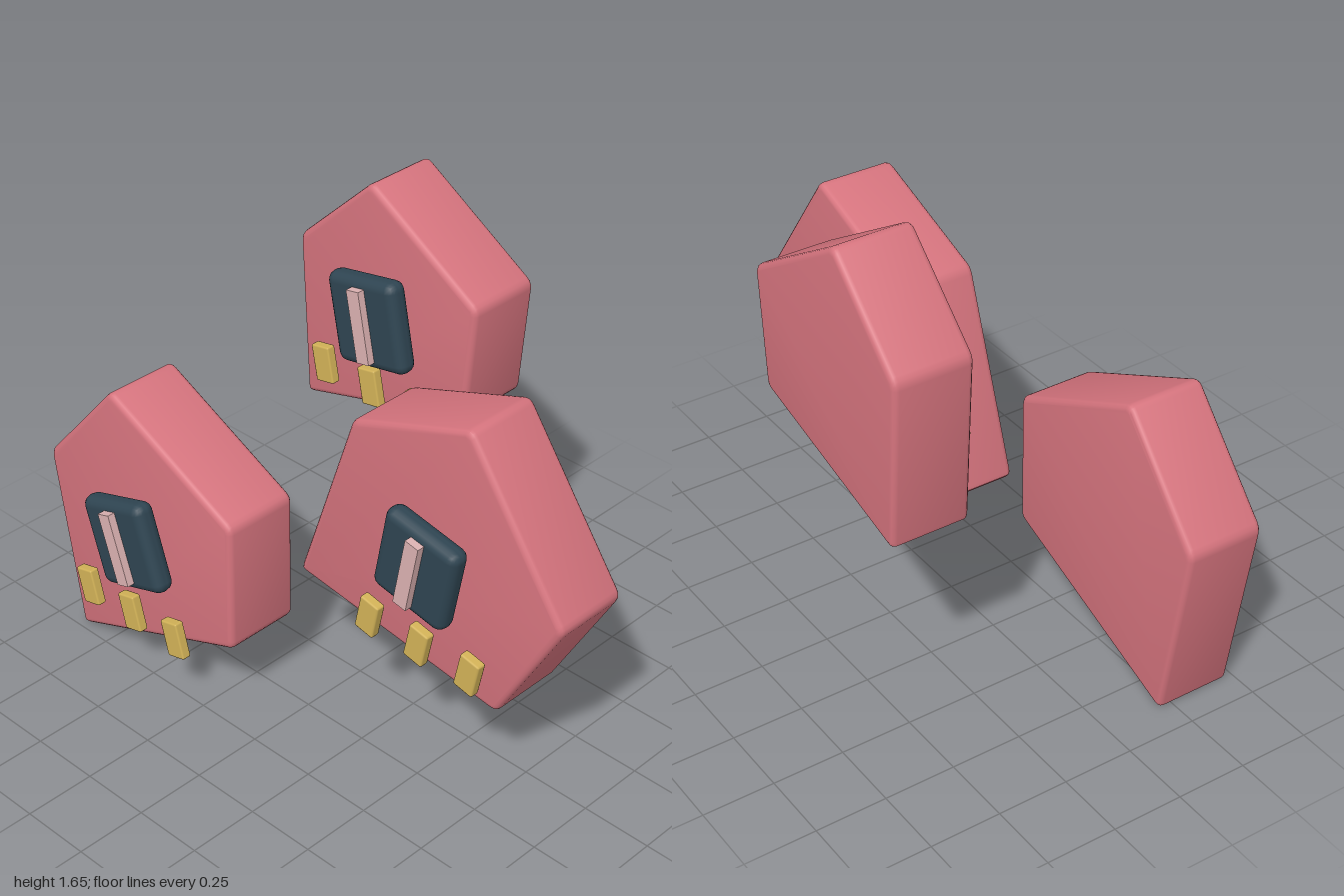
import * as THREE from 'three';
import { toCreasedNormals } from 'three/addons/utils/BufferGeometryUtils.js';
import { RoundedBoxGeometry } from 'three/addons/geometries/RoundedBoxGeometry.js';

const mat = (name, color) => {
  const m = new THREE.MeshStandardMaterial({ color });
  m.name = name;
  return m;
};

// Polygon outline with slightly rounded corners
function roundedOutline(points, r) {
  const pts = points.map(([x, y]) => new THREE.Vector2(x, y));
  const toward = (a, b) => a.clone().add(b.clone().sub(a).setLength(r));
  const shape = new THREE.Shape();
  pts.forEach((p, i) => {
    const from = toward(p, pts[(i + pts.length - 1) % pts.length]);
    const to = toward(p, pts[(i + 1) % pts.length]);
    if (i === 0) shape.moveTo(from.x, from.y);
    else shape.lineTo(from.x, from.y);
    shape.quadraticCurveTo(p.x, p.y, to.x, to.y);
  });
  shape.closePath();
  return shape;
}

// Five-sided slab with soft edges, reaching from zBack to zFront
function slabGeometry(points, zBack, zFront) {
  const bevel = 0.02;
  const g = new THREE.ExtrudeGeometry(roundedOutline(points, 0.025), {
    depth: zFront - zBack - 2 * bevel,
    curveSegments: 3,
    bevelEnabled: true,
    bevelThickness: bevel,
    bevelSize: bevel,
    bevelOffset: -bevel,
    bevelSegments: 3,
  });
  g.translate(0, 0, zBack + bevel);
  return toCreasedNormals(g, 0.65);
}

// Outline, depth range, and the layout of the fittings on the front
const rocks = [
  {
    name: 'leftRock', zBack: 0.197, zFront: 0.477, block: [-0.56, 0.54], tilt: 0.31, studY: 0.255, studTilt: 0.25,
    outline: [[-0.67, 1.055], [-0.112, 0.78], [-0.12, 0.3], [-0.893, 0], [-1.003, 0.68]],
  },
  {
    name: 'rightRock', zBack: -0.112, zFront: 0.168, block: [0.465, 0.8], tilt: -0.19, studY: 0.5, studTilt: -0.21,
    outline: [[0.612, 1.34], [1.0, 0.795], [0.748, 0.352], [-0.116, 0.472], [0.125, 1.165]],
  },
  {
    name: 'backRock', zBack: -0.587, zFront: -0.307, block: [-0.2, 1.205], tilt: 0.19, studY: 0.955, studTilt: 0.19,
    outline: [[-0.255, 1.667], [0.208, 1.38], [0.168, 0.96], [-0.552, 0.76], [-0.578, 1.365]],
  },
];

export function createModel() {
  const rose = mat('rose', 0xd6747e);
  const slate = mat('slate', 0x2f4552);
  const gold = mat('gold', 0xd3b358);
  const pink = mat('palePink', 0xdcb2b2);

  const blockGeo = new RoundedBoxGeometry(0.305, 0.325, 0.08, 2, 0.035);
  const stripeGeo = new THREE.BoxGeometry(0.055, 0.26, 0.04);
  const studGeo = new RoundedBoxGeometry(0.08, 0.135, 0.035, 1, 0.007);

  const model = new THREE.Group();
  model.name = 'rockCluster';

  for (const rock of rocks) {
    const group = new THREE.Group();
    group.name = rock.name;
    const add = (name, geometry, material, x = 0, y = 0, z = 0, tilt = 0) => {
      const mesh = new THREE.Mesh(geometry, material);
      mesh.name = name;
      mesh.position.set(x, y, z);
      mesh.rotation.z = tilt;
      group.add(mesh);
    };
    const [x, y] = rock.block;
    const z = rock.zFront + 0.048;

    add('slab', slabGeometry(rock.outline, rock.zBack, rock.zFront), rose);
    add('block', blockGeo, slate, x, y, z, rock.tilt);
    add('stripe', stripeGeo, pink, x, y, z + 0.047, rock.tilt);

    // Row of three studs below the block
    for (const i of [-1, 0, 1]) {
      add('stud', studGeo, gold, x + i * 0.214, rock.studY, z, rock.studTilt);
    }
    model.add(group);
  }
  return model;
}
